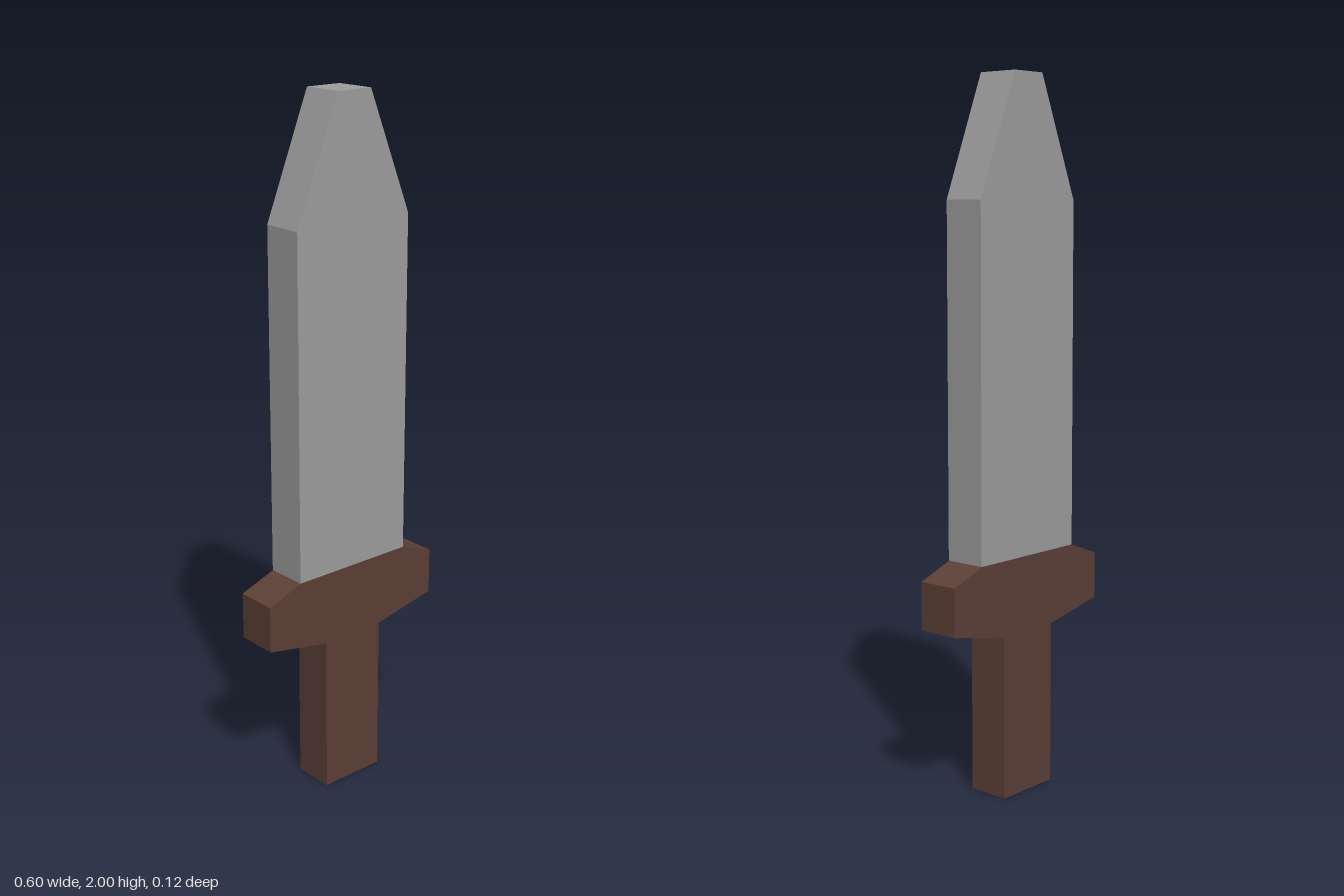
import * as THREE from 'three';

const DEPTH = 0.122;

// Extrudes a mirrored outline, given by its +x half from bottom to top
function slab(name, half, material) {
  const right = half.map(([x, y]) => new THREE.Vector2(x, y));
  const left = half.map(([x, y]) => new THREE.Vector2(-x, y)).reverse();
  const geometry = new THREE.ExtrudeGeometry(new THREE.Shape([...right, ...left]), {
    depth: DEPTH,
    bevelEnabled: false,
  });
  geometry.translate(0, 0, -DEPTH / 2);
  const mesh = new THREE.Mesh(geometry, material);
  mesh.name = name;
  return mesh;
}

export function createModel() {
  const steel = new THREE.MeshStandardMaterial({ color: 0x9e9e9e });
  steel.name = 'steel grey';
  const wood = new THREE.MeshStandardMaterial({ color: 0x5d4037 });
  wood.name = 'dark brown';

  const sword = new THREE.Group();
  sword.name = 'sword';
  sword.add(
    // Straight blade with a blunt tapered tip
    slab('blade', [[0.193, 0.68], [0.193, 1.66], [0.056, 2]], steel),
    // Crossguard, sloped above and below
    slab('guard', [[0.1, 0.465], [0.301, 0.505], [0.301, 0.64], [0.19, 0.68]], wood),
    // Plain rectangular grip
    slab('grip', [[0.1, 0], [0.1, 0.465]], wood),
  );
  return sword;
}
